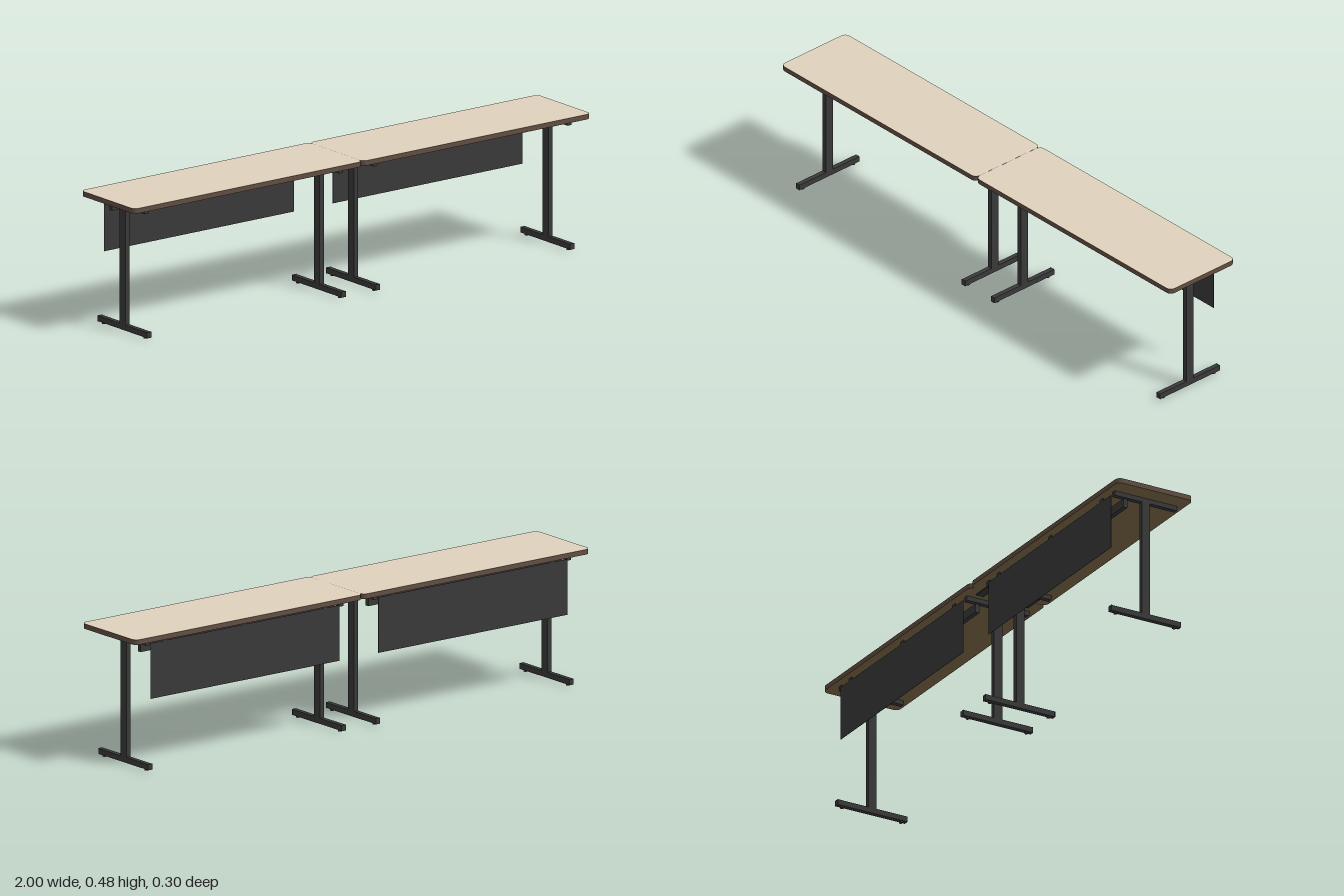
import * as THREE from 'three';

const laminate = new THREE.MeshStandardMaterial({ color: 0xdfd1bc });
laminate.name = 'beige laminate';
const edging = new THREE.MeshStandardMaterial({ color: 0x614e42 });
edging.name = 'brown edging';
const backing = new THREE.MeshStandardMaterial({ color: 0x836d4c });
backing.name = 'tan backing board';
const metal = new THREE.MeshStandardMaterial({ color: 0x393939 });
metal.name = 'charcoal metal';

function add(parent, name, geometry, material, x, y, z) {
  const mesh = new THREE.Mesh(geometry, material);
  mesh.name = name;
  mesh.position.set(x, y, z);
  parent.add(mesh);
  return mesh;
}

// Box given by its centre in x and z and its lower and upper height
function box(parent, name, w, y0, y1, d, x, z) {
  return add(parent, name, new THREE.BoxGeometry(w, y1 - y0, d), metal, x, (y0 + y1) / 2, z);
}

function roundedRect(w, d, r) {
  const s = new THREE.Shape();
  const x = w / 2, y = d / 2;
  s.absarc(x - r, y - r, r, 0, Math.PI / 2);
  s.absarc(-x + r, y - r, r, Math.PI / 2, Math.PI);
  s.absarc(-x + r, -y + r, r, Math.PI, Math.PI * 1.5);
  s.absarc(x - r, -y + r, r, Math.PI * 1.5, Math.PI * 2);
  s.closePath();
  return s;
}

// T-shaped leg: top support, column, foot bar with end caps and glides
function createLeg(x) {
  const leg = new THREE.Group();
  leg.name = 'leg';
  leg.position.x = x;
  box(leg, 'topSupport', 0.018, 0.448, 0.465, 0.25, 0, 0);
  box(leg, 'column', 0.018, 0.026, 0.448, 0.033, 0, 0);
  box(leg, 'footBar', 0.018, 0.006, 0.026, 0.276, 0, 0);
  for (const s of [-1, 1]) {
    box(leg, 'footEndCap', 0.019, 0.0055, 0.0265, 0.002, 0, s * 0.139);
    add(leg, 'glide', new THREE.CylinderGeometry(0.0065, 0.0065, 0.006, 16), metal, 0, 0.003, s * 0.118);
  }
  return leg;
}

function createTable(x) {
  const table = new THREE.Group();
  table.name = 'table';
  table.position.x = x;

  // Table top: brown edged slab, light laminate face above, tan backing below
  const outline = roundedRect(0.999, 0.303, 0.02);
  const slab = new THREE.ExtrudeGeometry(outline, { depth: 0.018, bevelEnabled: false, curveSegments: 8 });
  add(table, 'topSlab', slab.rotateX(-Math.PI / 2), edging, 0, 0.4655, 0);
  const face = new THREE.ShapeGeometry(outline, 8).rotateX(-Math.PI / 2);
  add(table, 'topSurface', face, laminate, 0, 0.484, 0);
  add(table, 'undersideSurface', face.clone().rotateX(Math.PI), backing, 0, 0.465, 0);

  for (const s of [-1, 1]) table.add(createLeg(s * 0.425));

  // Cross beam between the legs, hung under the supports
  box(table, 'crossBeam', 0.85, 0.416, 0.448, 0.016, 0, -0.078);

  // Thin modesty panel at the back with its hanging clips
  box(table, 'modestyPanel', 0.83, 0.256, 0.455, 0.0012, 0, -0.1285);
  for (const cx of [-0.35, 0, 0.35]) {
    box(table, 'panelClip', 0.018, 0.453, 0.465, 0.004, cx, -0.127);
  }
  return table;
}

export function createModel() {
  const model = new THREE.Group();
  model.name = 'trainingTables';
  for (const s of [-1, 1]) model.add(createTable(s * 0.5));

  // Flat plates joining the two tops underneath
  for (const s of [-1, 1]) box(model, 'joiningPlate', 0.08, 0.461, 0.465, 0.03, 0, s * 0.09);
  return model;
}
